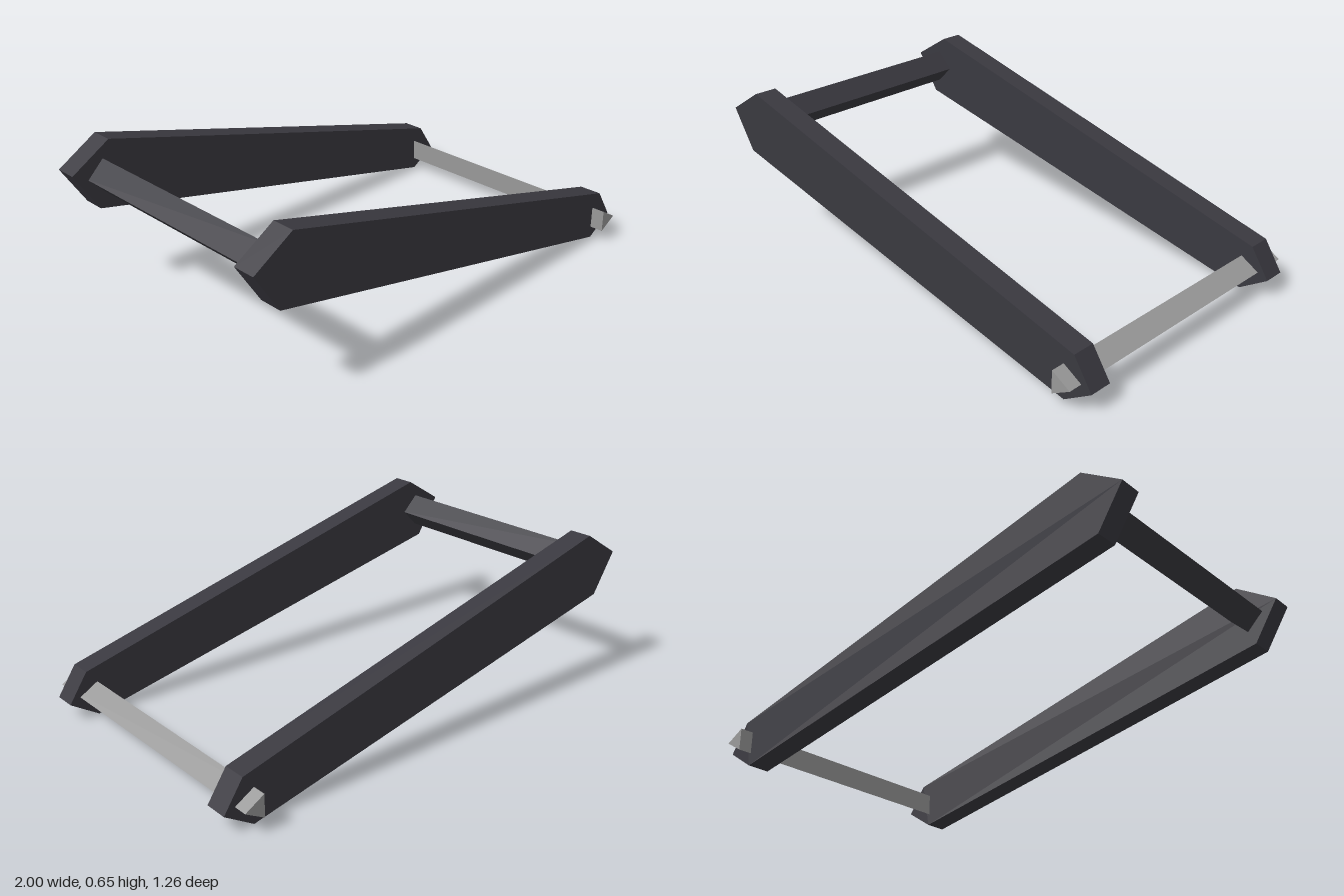
import * as THREE from 'three';

const darkMetal = new THREE.MeshStandardMaterial({ color: 0x3a3940 });
const steel = new THREE.MeshStandardMaterial({ color: 0x999999 });

// Straight prism along z from an outline in the xy plane, centred on z
function prism(name, points, length, z, material) {
  const shape = new THREE.Shape(points.map(([x, y]) => new THREE.Vector2(x, y)));
  const geometry = new THREE.ExtrudeGeometry(shape, { depth: length, bevelEnabled: false });
  geometry.translate(0, 0, z - length / 2);
  const mesh = new THREE.Mesh(geometry, material);
  mesh.name = name;
  return mesh;
}

// Regular polygon with its first corner pointing to +x
function polygon(sides, radius, cx, cy) {
  return Array.from({ length: sides }, (_, i) => {
    const a = (i / sides) * Math.PI * 2;
    return [cx + radius * Math.cos(a), cy + radius * Math.sin(a)];
  });
}

export function createModel() {
  const group = new THREE.Group();
  group.name = 'hingedFrame';

  // Two tapered side arms with pointed ends
  const armOutline = [
    [-1, 0.545], [-0.895, 0.38], [0.88, 0.003],
    [1, 0.08], [0.92, 0.2], [-0.832, 0.65],
  ];
  for (const [name, side] of [['frontArm', 1], ['backArm', -1]]) {
    group.add(prism(name, armOutline, 0.095, side * 0.525, darkMetal));
  }

  // Four-sided crossbar at the raised end
  group.add(prism('crossbar', polygon(4, 0.07, -0.865, 0.51), 1.0, 0, darkMetal));

  // Three-sided pin that sticks out through both arms
  group.add(prism('pivotPin', polygon(3, 0.053, 0.902, 0.1), 1.26, 0, steel));

  return group;
}
